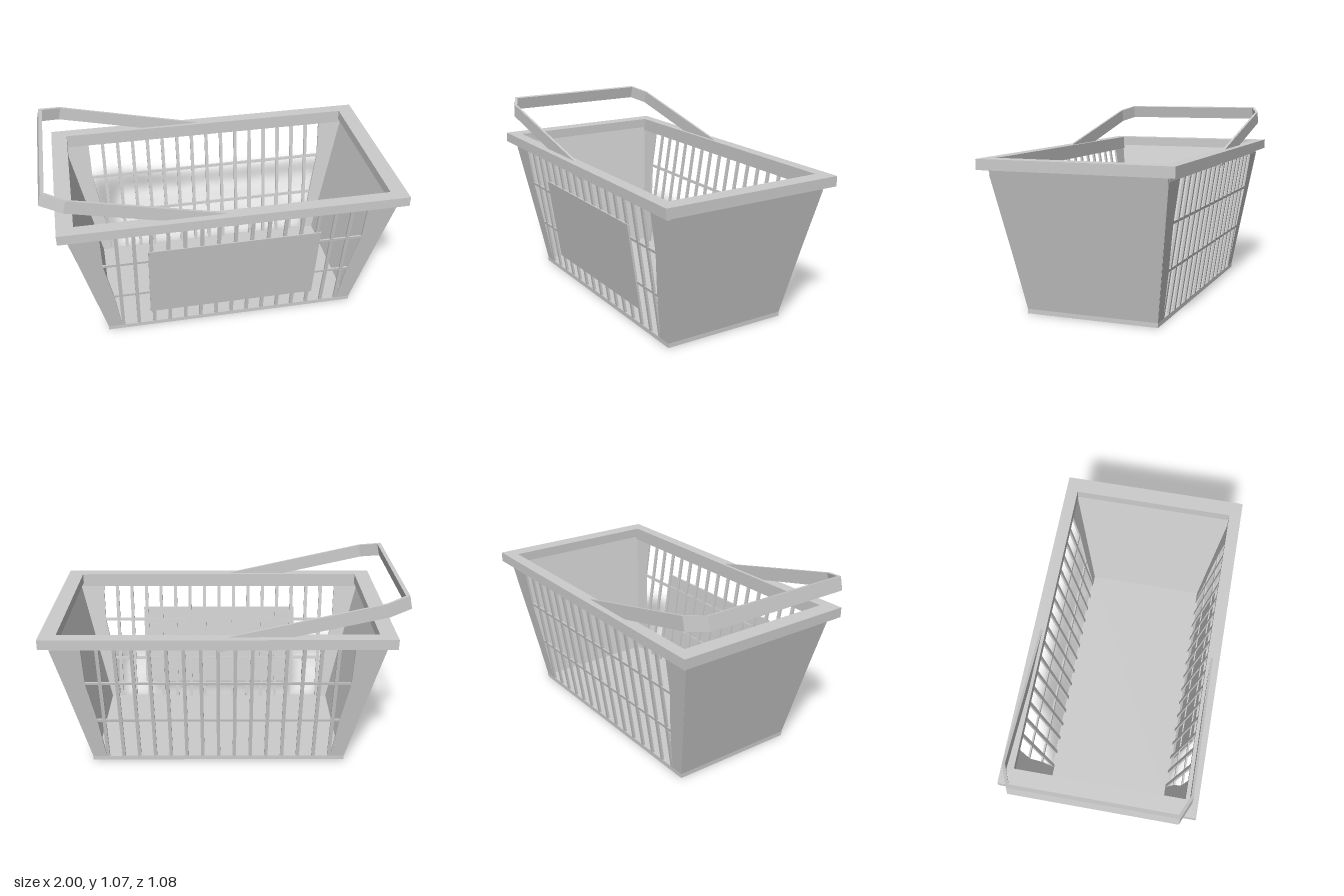
import * as THREE from 'three';

const material = new THREE.MeshStandardMaterial({ color: 0xcccccc });
const CX = 0.035; // middle of the basket body
const FLOOR = 0.025, LIP = 0.775, TOP = 0.8;

// Half width and half depth of the tapering body at height y
const halfX = (y) => THREE.MathUtils.lerp(0.743, 0.922, (y - FLOOR) / (LIP - FLOOR));
const halfZ = (y) => THREE.MathUtils.lerp(0.375, 0.49, (y - FLOOR) / (LIP - FLOOR));

export function createModel() {
  const model = new THREE.Group();
  model.name = 'shoppingBasket';

  const add = (geometry, name, parent = model) => {
    const mesh = new THREE.Mesh(geometry, material);
    mesh.name = name;
    parent.add(mesh);
    return mesh;
  };

  const group = (name) => {
    const g = new THREE.Group();
    g.name = name;
    model.add(g);
    return g;
  };

  // Six-sided block whose bounds [x0, x1, z0, z1] are a rule of height
  const block = (name, y0, y1, bounds, parent) => {
    const geometry = new THREE.BoxGeometry(2, 2, 2);
    const p = geometry.attributes.position;
    for (let i = 0; i < p.count; i++) {
      const y = p.getY(i) < 0 ? y0 : y1;
      const [x0, x1, z0, z1] = bounds(y);
      p.setXYZ(i, CX + (p.getX(i) < 0 ? x0 : x1), y, p.getZ(i) < 0 ? z0 : z1);
    }
    geometry.computeVertexNormals();
    return add(geometry, name, parent);
  };

  // Depth range of a thin layer lying on the front (1) or back (-1) wall
  const layer = (side, y, thickness, offset = 0) => {
    const outer = halfZ(y) + offset, inner = outer - thickness;
    return side > 0 ? [inner, outer] : [-outer, -inner];
  };

  // Floor slab
  block('floor', 0, FLOOR, () => [-0.743, 0.743, -0.375, 0.375]);

  // Solid end walls
  for (const side of [-1, 1]) {
    block('endWall', FLOOR, TOP, (y) => {
      const outer = halfX(Math.min(y, LIP)), inner = outer - 0.025;
      const z = halfZ(Math.min(y, LIP));
      return side > 0 ? [inner, outer, -z, z] : [-outer, -inner, -z, z];
    });
  }

  // Slatted front and back walls
  const cornerEdge = [[FLOOR, 0.663], [0.29, 0.695], [0.55, 0.742], [LIP, 0.746]];
  for (const side of [1, -1]) {
    const wall = group(side > 0 ? 'frontWall' : 'backWall');

    // Solid corner panels with a bent inner edge
    for (const end of [-1, 1]) {
      for (let i = 0; i < 3; i++) {
        const [y0, e0] = cornerEdge[i], [y1, e1] = cornerEdge[i + 1];
        block('cornerPanel', y0, y1, (y) => {
          const edge = y === y0 ? e0 : e1, outer = halfX(y) - 0.005;
          const x = end > 0 ? [edge, outer] : [-outer, -edge];
          return [...x, ...layer(side, y, 0.012)];
        }, wall);
      }
    }

    // Upright slats
    for (let i = 0; i < 15; i++) {
      const x = (i - 7) * 0.0934;
      block('slat', FLOOR, LIP, (y) => {
        const c = x * (1 + 0.012 * y);
        return [c - 0.01, c + 0.01, ...layer(side, y, 0.012)];
      }, wall);
    }

    // Cross bars
    for (const [y, x] of [[0.29, 0.7], [0.55, 0.745]]) {
      block('crossBar', y - 0.008, y + 0.008,
        (h) => [-x, x, ...layer(side, h, 0.01, -0.001)], wall);
    }

    // Band joining the slats under the rim
    block('topBand', LIP, TOP, () => [-0.9, 0.9, ...layer(side, LIP, 0.018)], wall);
  }

  // Plain sign plate on the front
  block('signPlate', 0.125, 0.63, (y) => [-0.49, 0.49, ...layer(1, y, 0.01, 0.006)]);

  // Rim frame
  const rectangle = (path, x, z) => path.moveTo(-x, -z).lineTo(x, -z).lineTo(x, z).lineTo(-x, z).closePath();
  const rimShape = new THREE.Shape();
  rectangle(rimShape, 0.965, 0.538);
  const opening = new THREE.Path();
  rectangle(opening, 0.873, 0.468);
  rimShape.holes.push(opening);
  const rimGeometry = new THREE.ExtrudeGeometry(rimShape, { depth: 0.057, bevelEnabled: false });
  rimGeometry.rotateX(-Math.PI / 2);
  add(rimGeometry, 'rim').position.set(CX, TOP, 0);

  // Tilted carrying handle: a flat strap bent into a U with cut corners
  const outerPath = [[0, 0.5], [-0.935, 0.5], [-1.061, 0.447]];
  const innerPath = [[-1.04, 0.438], [-0.93, 0.486], [0, 0.486]];
  const mirrored = (points) => points.map(([x, z]) => [x, -z]).reverse();
  const outline = [...outerPath, ...mirrored(outerPath), ...mirrored(innerPath), ...innerPath];
  // Outline runs round the outside, then back along the inside
  const ordered = [
    ...outerPath, ...mirrored(outerPath),
    ...innerPath.map(([x, z]) => [x, -z]).reverse(), ...innerPath,
  ].slice(0, outline.length);
  const handleShape = new THREE.Shape(ordered.map(([x, z]) => new THREE.Vector2(x, z)));
  const handleGeometry = new THREE.ExtrudeGeometry(handleShape, { depth: 0.077, bevelEnabled: false });
  handleGeometry.rotateX(-Math.PI / 2);
  const handle = add(handleGeometry, 'handle');
  handle.position.set(0.035, 0.765, 0);
  handle.rotation.z = -0.223;

  return model;
}
